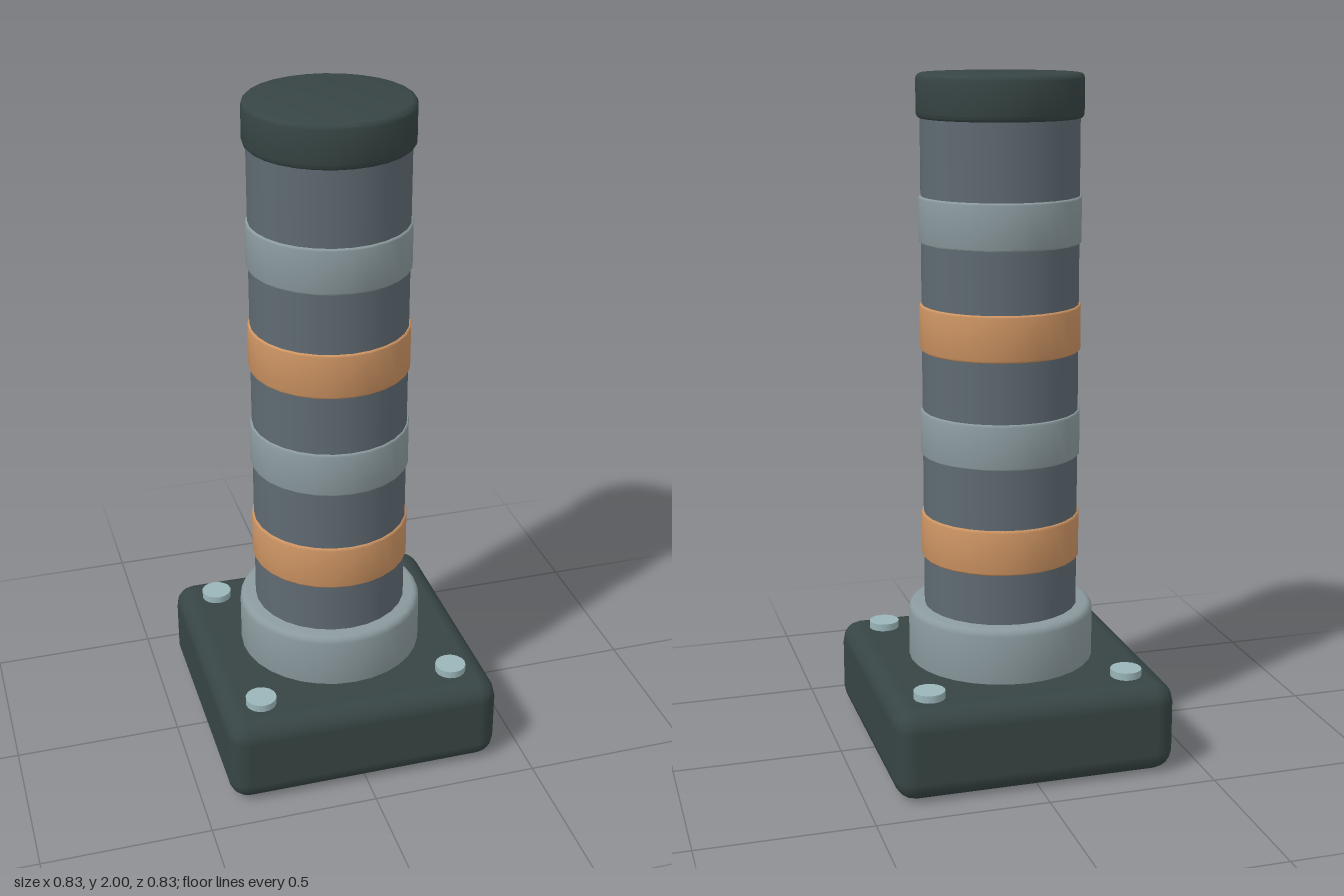
import * as THREE from 'three';
import { toCreasedNormals } from 'three/addons/utils/BufferGeometryUtils.js';
import { RoundedBoxGeometry } from 'three/addons/geometries/RoundedBoxGeometry.js';

const material = (name, color) => {
  const m = new THREE.MeshStandardMaterial({ color });
  m.name = name;
  return m;
};

// Closed disc-like solid between y0 and y1 with rounded rims
function roundedDrum(radius, y0, y1, bevel, sides) {
  const points = [new THREE.Vector2(0, y0)];
  const steps = 3;
  for (let i = 0; i <= steps; i++) {
    const a = (i / steps) * Math.PI / 2;
    points.push(new THREE.Vector2(radius - bevel * (1 - Math.sin(a)), y0 + bevel * (1 - Math.cos(a))));
  }
  for (let i = 0; i <= steps; i++) {
    const a = (i / steps) * Math.PI / 2;
    points.push(new THREE.Vector2(radius - bevel * (1 - Math.cos(a)), y1 - bevel * (1 - Math.sin(a))));
  }
  points.push(new THREE.Vector2(0, y1));
  return toCreasedNormals(new THREE.LatheGeometry(points, sides), 0.6);
}

export function createModel() {
  const model = new THREE.Group();
  model.name = 'bollard';

  const dark = material('dark green grey', 0x374544);
  const slate = material('slate', 0x5f6a72);
  const grey = material('light grey', 0x8b9a9e);
  const orange = material('orange', 0xcc9362);
  const steel = material('pale steel', 0x9ab5b8);

  const add = (name, geometry, mat, x = 0, y = 0, z = 0) => {
    const mesh = new THREE.Mesh(geometry, mat);
    mesh.name = name;
    mesh.position.set(x, y, z);
    model.add(mesh);
  };

  // Base block and its four bolts
  add('base', new RoundedBoxGeometry(0.834, 0.27, 0.834, 2, 0.06), dark, 0, 0.135, 0);
  const bolt = new THREE.CylinderGeometry(0.046, 0.046, 0.04, 16);
  for (const x of [-1, 1]) {
    for (const z of [-1, 1]) add('bolt', bolt, steel, x * 0.297, 0.272, z * 0.297);
  }

  // Collar, column and cap
  add('collar', roundedDrum(0.277, 0.25, 0.435, 0.02, 32), grey);
  add('column', new THREE.CylinderGeometry(0.229, 0.229, 1.6, 28), slate, 0, 1.15, 0);
  add('cap', roundedDrum(0.24, 1.873, 2, 0.016, 28), dark);

  // Alternating bands, evenly spaced up the column
  for (let i = 0; i < 4; i++) {
    const y = 0.585 + i * 0.312;
    const isOrange = i % 2 === 0;
    add(isOrange ? 'orangeBand' : 'greyBand',
      roundedDrum(0.235, y, y + 0.135, 0.006, 28), isOrange ? orange : grey);
  }
  return model;
}
